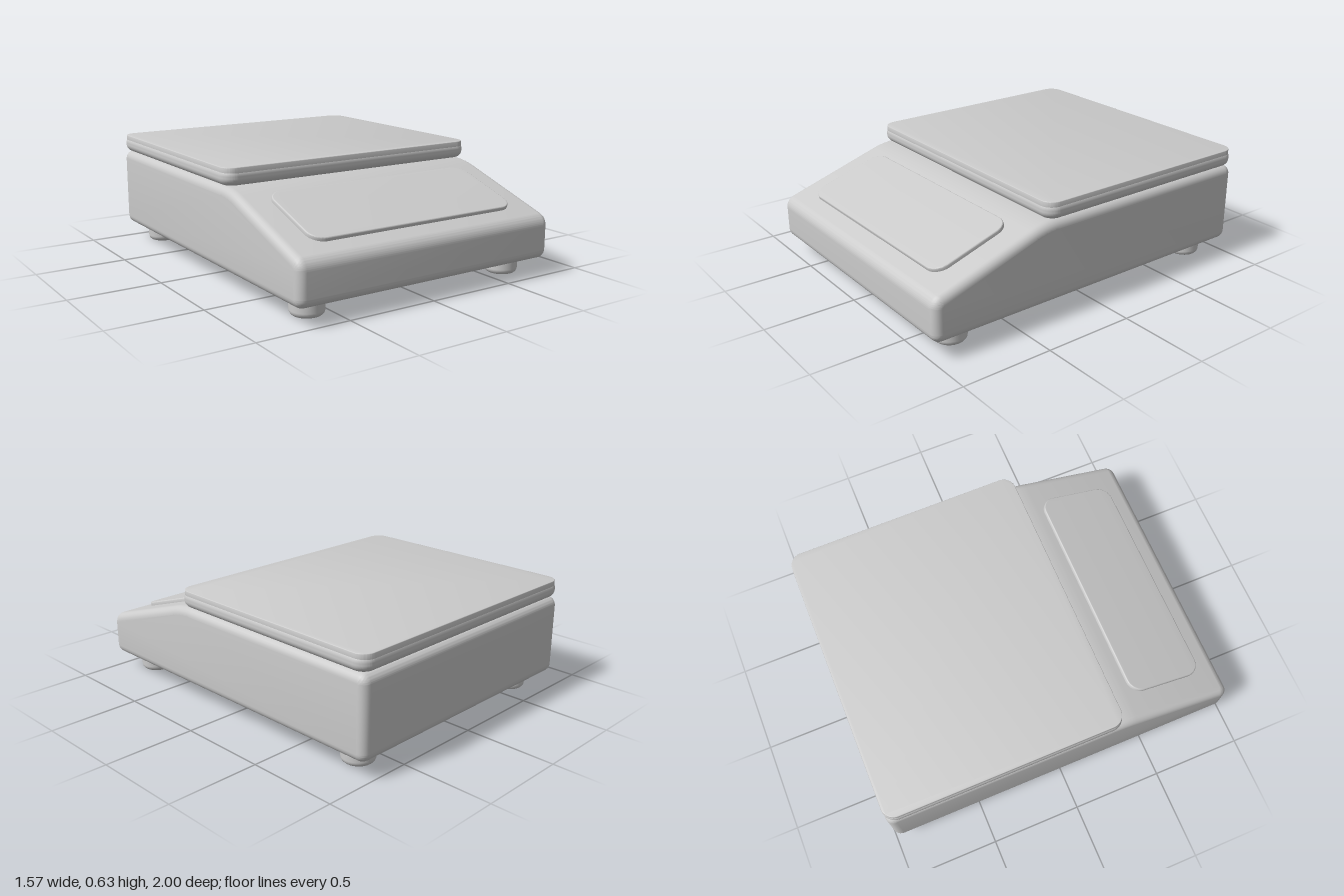
import * as THREE from 'three';
import { toCreasedNormals } from 'three/addons/utils/BufferGeometryUtils.js';

const material = new THREE.MeshStandardMaterial({ color: 0xcccccc });

// Convex counter-clockwise polygon with rounded corners; each corner is [x, y, radius]
function roundedShape(corners) {
  const shape = new THREE.Shape();
  const n = corners.length;
  const normalAngle = (a, b) => Math.atan2(a[0] - b[0], b[1] - a[1]);
  corners.forEach((p, i) => {
    const a1 = normalAngle(corners[(i + n - 1) % n], p);
    let a2 = normalAngle(p, corners[(i + 1) % n]);
    if (a2 < a1) a2 += Math.PI * 2;
    const k = p[2] / (1 + Math.cos(a2 - a1));
    const cx = p[0] - k * (Math.cos(a1) + Math.cos(a2));
    const cy = p[1] - k * (Math.sin(a1) + Math.sin(a2));
    shape.absarc(cx, cy, p[2], a1, a2, false);
  });
  return shape;
}

function roundedRect(halfW, halfH, r) {
  return roundedShape([[-halfW, -halfH, r], [halfW, -halfH, r], [halfW, halfH, r], [-halfW, halfH, r]]);
}

// Extrusion centred on z = 0 whose bevels stay inside the given outline and thickness
function slab(shape, thickness, bevel) {
  const geometry = new THREE.ExtrudeGeometry(shape, {
    depth: thickness - 2 * bevel,
    bevelEnabled: bevel > 0,
    bevelSize: bevel,
    bevelThickness: bevel,
    bevelOffset: -bevel,
    bevelSegments: 6,
    curveSegments: 10,
  });
  geometry.translate(0, 0, bevel - thickness / 2);
  return toCreasedNormals(geometry, 0.6);
}

export function createModel() {
  const model = new THREE.Group();
  const add = (name, geometry, x = 0, y = 0, z = 0) => {
    const mesh = new THREE.Mesh(geometry, material);
    mesh.name = name;
    mesh.position.set(x, y, z);
    model.add(mesh);
    return mesh;
  };

  // Wedge-fronted housing: side profile (z, y) extruded across the width
  const profile = roundedShape([
    [-0.995, 0.092, 0.05],
    [1, 0.092, 0.05],
    [1, 0.322, 0.07],
    [0.345, 0.535, 0.5],
    [-0.995, 0.535, 0.05],
  ]);
  add('housing', slab(profile, 1.56, 0.045).rotateY(-Math.PI / 2));

  // Display and key panel lying on the slope
  const slope = Math.atan2(0.213, 0.655);
  const panel = add('controlPanel', slab(roundedRect(0.626, 0.228, 0.08), 0.04, 0.006), 0, 0.431, 0.667);
  panel.rotation.x = slope - Math.PI / 2;

  // Weighing platform: support, rounded tray and flat cover
  add('platformSupport', new THREE.BoxGeometry(0.65, 0.03, 0.65), 0, 0.535, -0.395);
  const tray = slab(roundedRect(0.785, 0.666, 0.075), 0.09, 0.04).rotateX(-Math.PI / 2);
  add('platformTray', tray, 0, 0.582, -0.33);
  const cover = slab(roundedRect(0.78, 0.662, 0.07), 0.05, 0.003).rotateX(-Math.PI / 2);
  add('platformCover', cover, 0, 0.608, -0.33);

  // Four round feet with softened lower edges
  const footProfile = [new THREE.Vector2(0, 0)];
  for (let i = 0; i <= 6; i++) {
    const a = (i / 6) * Math.PI / 2;
    footProfile.push(new THREE.Vector2(0.058 + 0.03 * Math.sin(a), 0.03 - 0.03 * Math.cos(a)));
  }
  footProfile.push(new THREE.Vector2(0.088, 0.1));
  const foot = new THREE.LatheGeometry(footProfile, 32);
  for (const x of [-0.62, 0.62]) {
    for (const z of [-0.815, 0.815]) add('foot', foot, x, 0, z);
  }

  return model;
}
